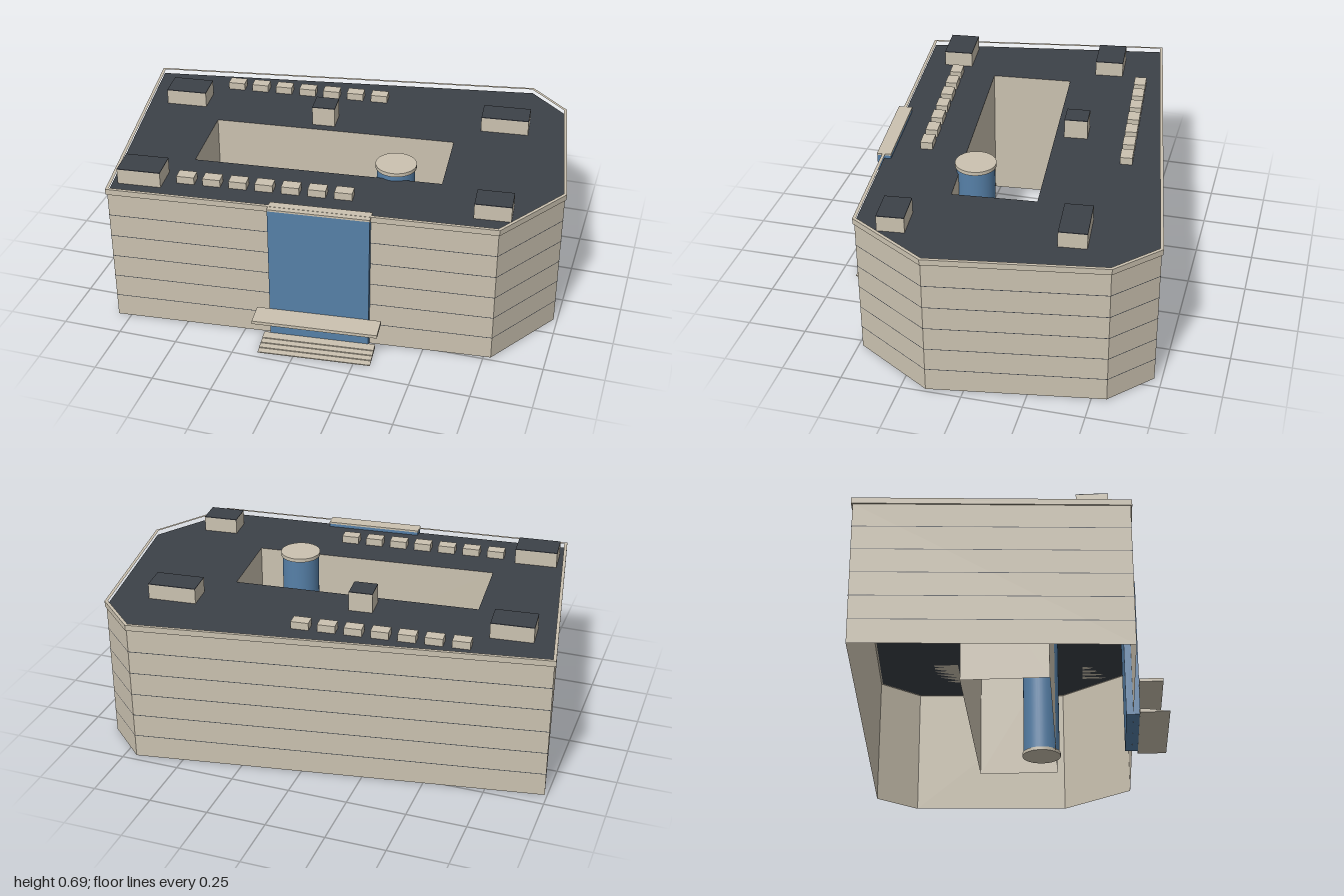
import * as THREE from 'three';

const paint = (name, color, side = THREE.FrontSide) => {
  const m = new THREE.MeshStandardMaterial({ color, side });
  m.name = name;
  return m;
};

// Footprints as [x, z]
const OUTLINE = [[-0.99, -0.435], [0.70, -0.72], [0.873, -0.56], [0.985, 0.15], [0.78, 0.483], [-0.806, 0.632]];
const COURT = [[-0.592, -0.078], [0.452, -0.175], [0.482, 0.175], [-0.562, 0.275]];
const TURN = 0.094; // plan angle of the front facade
const ROOF = 0.602;

export function createModel() {
  const stone = paint('stone', 0xcbc2b0);
  const shell = paint('stoneShell', 0xcbc2b0, THREE.DoubleSide);
  const slate = paint('slate', 0x3c4148, THREE.DoubleSide);
  const glass = paint('glass', 0x5680a8);
  const model = new THREE.Group();

  const add = (name, geometry, material, parent = model) => {
    const mesh = new THREE.Mesh(geometry, material);
    mesh.name = name;
    parent.add(mesh);
    return mesh;
  };

  // Box turned with the facade; y0 and y1 are its bottom and top
  const box = (name, x, z, w, d, y0, y1, material = stone, parent = model) => {
    const mesh = add(name, new THREE.BoxGeometry(w, y1 - y0, d), material, parent);
    mesh.position.set(x, (y0 + y1) / 2, z);
    mesh.rotation.y = TURN;
    return mesh;
  };

  // Thin upright walls along a closed footprint
  const wallLoop = (name, pts, y0, y1, material) => {
    const pos = [];
    pts.forEach(([ax, az], i) => {
      const [bx, bz] = pts[(i + 1) % pts.length];
      pos.push(ax, y0, az, ax, y1, az, bx, y1, bz, ax, y0, az, bx, y1, bz, bx, y0, bz);
    });
    const g = new THREE.BufferGeometry();
    g.setAttribute('position', new THREE.Float32BufferAttribute(pos, 3));
    g.computeVertexNormals();
    return add(name, g, material);
  };

  // Push a footprint outwards (negative: inwards) by a fixed distance
  const offset = (pts, d) => pts.map(([x, z], i) => {
    const n = pts.length;
    const [px, pz] = pts[(i + n - 1) % n];
    const [qx, qz] = pts[(i + 1) % n];
    const a = new THREE.Vector2(z - pz, px - x).normalize();
    const b = new THREE.Vector2(qz - z, x - qx).normalize();
    const k = d / (1 + a.dot(b));
    return [x + (a.x + b.x) * k, z + (a.y + b.y) * k];
  });
  const vectors = (pts) => pts.map(([x, z]) => new THREE.Vector2(x, -z));
  const ring = (outer, inner) => {
    const s = new THREE.Shape(vectors(outer));
    s.holes.push(new THREE.Path(vectors(inner)));
    return s;
  };

  // Main shell, open underneath, around the courtyard
  wallLoop('outerWalls', OUTLINE, 0, ROOF, shell);
  wallLoop('courtyardWalls', COURT, 0, ROOF, shell);
  const roof = add('roof', new THREE.ShapeGeometry(ring(OUTLINE, COURT)), slate);
  roof.rotation.x = -Math.PI / 2;
  roof.position.y = ROOF;

  // Parapet
  const parapet = add('parapet', new THREE.ExtrudeGeometry(
    ring(offset(OUTLINE, 0.006), offset(OUTLINE, -0.007)), { depth: 0.025, bevelEnabled: false }), stone);
  parapet.rotation.x = -Math.PI / 2;
  parapet.position.y = 0.6;

  // Fine joints at each floor
  for (let i = 1; i <= 5; i++) {
    wallLoop('floorJoint', offset(OUTLINE, 0.001), i * 0.1 - 0.0015, i * 0.1 + 0.0015, slate);
  }

  // Rooftop plant rooms with dark tops: x, z, width, depth, top
  [[-0.78, -0.232, 0.178, 0.125, 0.67], [0.64, -0.373, 0.205, 0.115, 0.67],
    [-0.713, 0.473, 0.182, 0.127, 0.67], [0.73, 0.333, 0.15, 0.112, 0.67],
    [-0.134, -0.21, 0.1, 0.1, 0.688]].forEach(([x, z, w, d, top]) => {
    box('plantRoom', x, z, w, d, ROOF, top - 0.003);
    box('plantRoomTop', x, z, w, d, top - 0.003, top, slate);
  });

  // Two rows of ventilation units
  for (let i = 0; i < 7; i++) {
    const t = i / 6;
    box('frontVent', -0.532 + 0.657 * t, 0.446 - 0.063 * t, 0.074, 0.052, ROOF, 0.634);
    box('rearVent', -0.612 + 0.657 * t, -0.4 - 0.062 * t, 0.074, 0.052, ROOF, 0.634);
  }

  // Round glass tower in the courtyard
  const tower = new THREE.Group();
  tower.name = 'roundTower';
  tower.position.set(0.275, 0, 0.13);
  model.add(tower);
  const drum = (name, r, y0, y1, material) => {
    add(name, new THREE.CylinderGeometry(r, r, y1 - y0, 40), material, tower).position.y = (y0 + y1) / 2;
  };
  drum('towerBase', 0.085, 0, 0.015, stone);
  drum('towerGlass', 0.08, 0.015, 0.625, glass);
  drum('towerCap', 0.086, 0.625, 0.641, stone);

  // Glazed entrance bay with its cap, canopy and steps
  box('entranceGlass', 0.07, 0.549, 0.415, 0.058, 0.002, 0.616, glass);
  box('entranceCap', 0.07, 0.549, 0.417, 0.06, 0.616, 0.624);
  box('canopy', 0.077, 0.627, 0.52, 0.1, 0.126, 0.14);
  for (let i = 0; i < 4; i++) {
    const d = 0.125 - i * 0.028;
    box('step', 0.074 + 0.094 * d / 2, 0.575 + d / 2, 0.47, d, i * 0.004, (i + 1) * 0.004);
  }

  return model;
}
